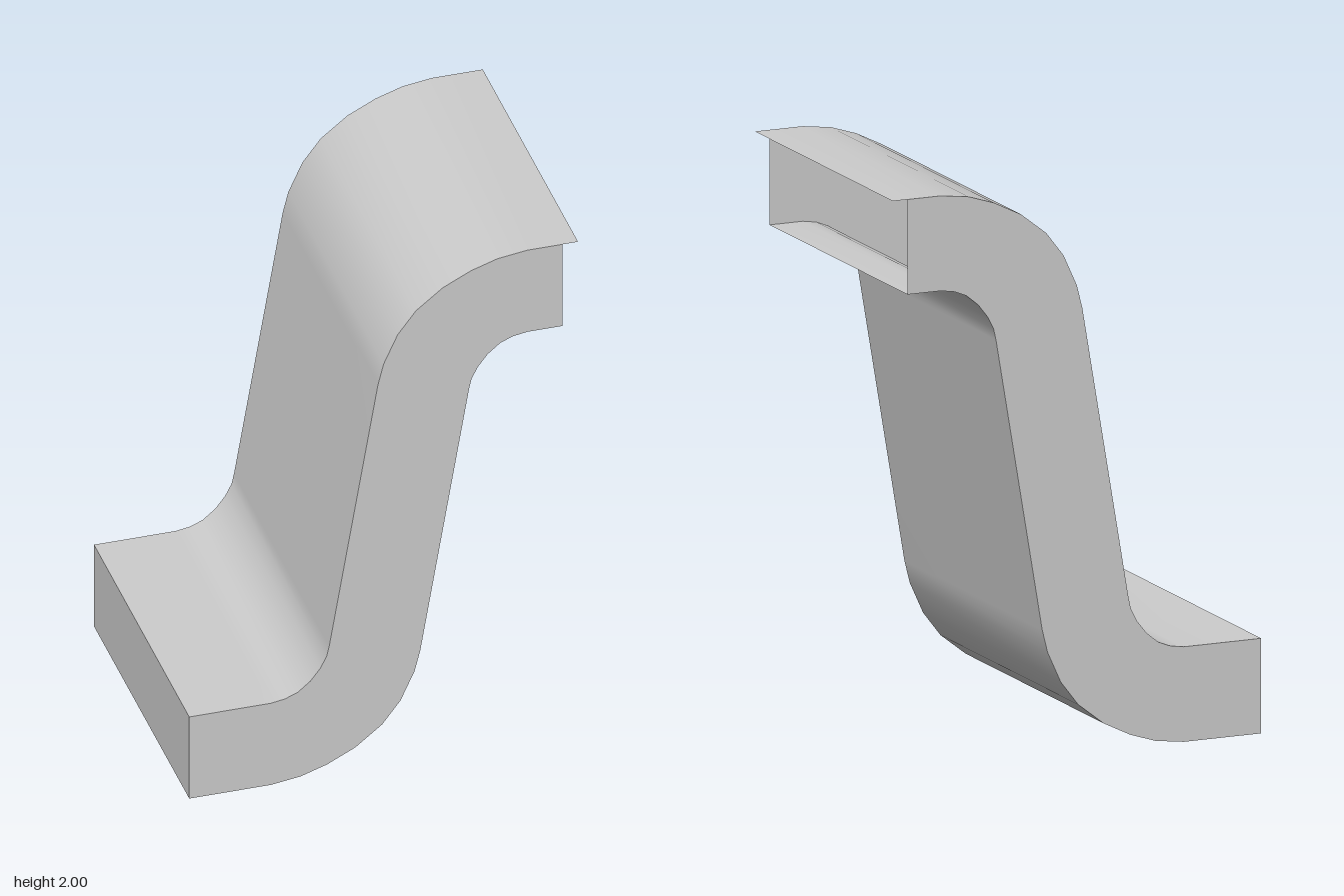
import * as THREE from 'three';

const HALF_DEPTH = 0.555;

// Bend profiles, each running upward from the foot to the head
const bigBend = [[0.51, 2], [0.405, 1.986], [0.31, 1.955], [0.21, 1.905], [0.115, 1.83], [0.05, 1.745], [0, 1.635], [-0.02, 1.555]];
const smallBend = [[0.51, 1.668], [0.46, 1.66], [0.415, 1.642], [0.37, 1.605], [0.335, 1.56], [0.312, 1.515], [0.303, 1.475]];

// Half turn about the middle of the duct: the lower bends repeat the upper ones
const turn = (points) => points.map(([x, y]) => [0.11 - x, 2 - y]);
const flip = (points) => [...points].reverse();

// Thin sheet following a profile across the full depth, smoothly shaded
function sheet(name, profile, material) {
  const geometry = new THREE.PlaneGeometry(1, 1, profile.length - 1, 1);
  const position = geometry.attributes.position;
  for (let row = 0; row < 2; row++) {
    profile.forEach(([x, y], i) =>
      position.setXYZ(row * profile.length + i, x, y, row ? HALF_DEPTH : -HALF_DEPTH));
  }
  geometry.computeVertexNormals();
  const mesh = new THREE.Mesh(geometry, material);
  mesh.name = name;
  return mesh;
}

export function createModel() {
  const group = new THREE.Group();
  group.name = 'offsetDuct';
  const metal = new THREE.MeshStandardMaterial({ color: 0xcccccc, side: THREE.DoubleSide });
  metal.name = 'plain grey';

  const upper = [[-0.69, 0.332], ...turn(smallBend), ...flip(bigBend), [0.635, 2]];
  const lower = [[0.635, 1.668], ...smallBend, ...flip(turn(bigBend)), [-0.69, 0]];

  // Upper sheet overhangs the open mouth as a lip
  group.add(sheet('upperSheet', [...upper, [0.69, 2]], metal));
  group.add(sheet('lowerSheet', lower, metal));

  // Closed end at the foot; the head stays open
  group.add(sheet('endPlate', [[-0.69, 0], [-0.69, 0.332]], metal));

  // S-shaped side walls
  const outline = new THREE.Shape([...upper, ...lower].map(([x, y]) => new THREE.Vector2(x, y)));
  for (const side of [1, -1]) {
    const wall = new THREE.Mesh(new THREE.ShapeGeometry(outline), metal);
    wall.name = side > 0 ? 'frontWall' : 'backWall';
    wall.position.z = side * HALF_DEPTH;
    if (side < 0) wall.scale.z = -1;
    group.add(wall);
  }
  return group;
}
